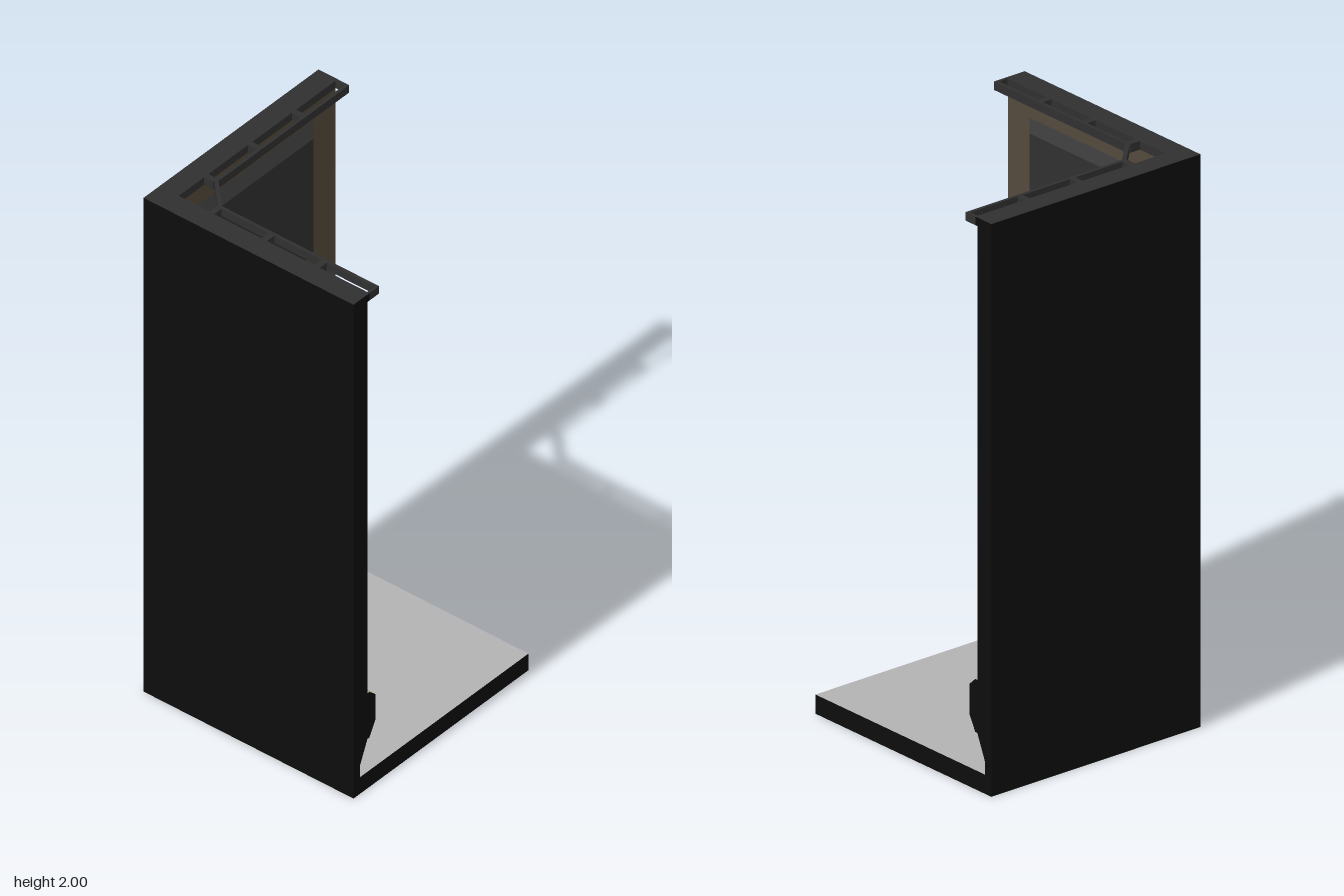
import * as THREE from 'three';

const H = 0.438; // half footprint
const mat = (name, color) => {
  const m = new THREE.MeshStandardMaterial({ color });
  m.name = name;
  return m;
};

export function createModel() {
  const black = mat('black', 0x0d0d0d);
  const dark = mat('darkGrey', 0x303030);
  const brown = mat('brown', 0x544a3c);
  const tan = mat('tan', 0xb8a97e);
  const grey = mat('lightGrey', 0xb3b3b3);

  const add = (parent, name, geo, material) => {
    const mesh = new THREE.Mesh(geo, material);
    mesh.name = name;
    parent.add(mesh);
    return mesh;
  };

  // Box given by its limits: u along the wall, y up, d inward from the outer face.
  // The inward face can be inset [low u, high u, bottom, top] for bevels.
  const slab = (u0, u1, y0, y1, d0, d1, inset = [0, 0, 0, 0]) => {
    const g = new THREE.BoxGeometry(u1 - u0, y1 - y0, d1 - d0);
    g.translate((u0 + u1) / 2, (y0 + y1) / 2, (d0 + d1) / 2);
    const p = g.attributes.position;
    const mid = (d0 + d1) / 2, um = (u0 + u1) / 2, ym = (y0 + y1) / 2;
    for (let i = 0; i < p.count; i++) {
      if (p.getZ(i) < mid) continue;
      const x = p.getX(i), y = p.getY(i);
      p.setX(i, x < um ? x + inset[0] : x - inset[1]);
      p.setY(i, y < ym ? y + inset[2] : y - inset[3]);
    }
    g.computeVertexNormals();
    return g;
  };

  // Materials of a box whose two ends are black
  const blackEnds = (m) => [black, black, m, m, m, m];

  // Wall section with an undercut foot, swept along the wall
  const wallBody = () => {
    const pts = [[0.002, 0.03], [0.032, 0.03], [0.032, 0.113], [0.07, 0.2], [0.07, 1.97], [0.002, 1.97]];
    const shape = new THREE.Shape(pts.map(([d, y]) => new THREE.Vector2(d, y)));
    const g = new THREE.ExtrudeGeometry(shape, { depth: 2 * H, bevelEnabled: false });
    g.rotateY(-Math.PI / 2);
    g.translate(H, 0, 0);
    return g;
  };

  // s = +1 puts the free end at +u and the room corner at -u
  const makeWall = (name, s, panel, blocks) => {
    const wall = new THREE.Group();
    wall.name = name;
    add(wall, 'wallBody', wallBody(), [black, brown]);
    add(wall, 'outerFace', slab(-H, H, 0, 1.97, 0, 0.004), black);
    add(wall, 'topCap', slab(-H, H, 1.97, 2, 0, 0.08), [black, black, dark, dark, dark, black]);

    // Raised bevelled panel
    add(wall, 'wallPanel', slab(panel[0], panel[1], 1.36, 1.893, 0.07, 0.105, [0.042, 0.042, 0.032, 0.032]), dark);

    // Bumper strip with raised blocks
    const lo = s > 0 ? -0.4 : -H, hi = s > 0 ? H : 0.4;
    add(wall, 'bumperStrip', slab(lo, hi, 0.2, 0.385, 0.07, 0.08), blackEnds(tan));
    for (const [u0, u1, inL, inR] of blocks)
      add(wall, 'bumperBlock', slab(u0, u1, 0.2, 0.385, 0.08, 0.11, [inL, inR, 0.055, 0.027]),
        [inR ? tan : black, inL ? tan : black, tan, tan, tan, tan]);

    // Open top trim: rail on short struts
    const ends = [-0.22 * s, H * s].sort((a, b) => a - b);
    add(wall, 'topRail', slab(ends[0], ends[1], 1.97, 2, 0.116, 0.128), dark);
    for (const u of [-0.22, 0, 0.22, H - 0.005]) {
      const w = u > 0.4 ? 0.005 : 0.011;
      add(wall, 'topStrut', slab(u * s - w, u * s + w, 1.97, 2, 0.078, 0.12), dark);
    }
    return wall;
  };

  const model = new THREE.Group();
  model.name = 'corridorCorner';

  // Floor
  const floor = add(model, 'floor', new THREE.BoxGeometry(2 * H, 0.067, 2 * H),
    [black, black, grey, black, black, black]);
  floor.position.y = 0.0335;

  // Side wall at -x
  const side = makeWall('sideWall', 1, [-0.27, 0.33],
    [[-0.4, -0.245, 0, 0.055], [0.19, H, 0.06, 0]]);
  side.rotation.y = Math.PI / 2;
  side.position.x = -H;
  model.add(side);

  // Front wall at +z
  const front = makeWall('frontWall', -1, [-0.33, 0.33],
    [[-H, -0.3, 0, 0.055], [0.19, 0.4, 0.055, 0]]);
  front.rotation.y = Math.PI;
  front.position.z = H;
  model.add(front);

  // Diagonal rail across the corner
  const diagonal = add(model, 'cornerRail', new THREE.BoxGeometry(0.142, 0.03, 0.014), dark);
  diagonal.rotation.y = -Math.PI / 4;
  diagonal.position.set(-0.268, 1.985, 0.268);

  return model;
}
